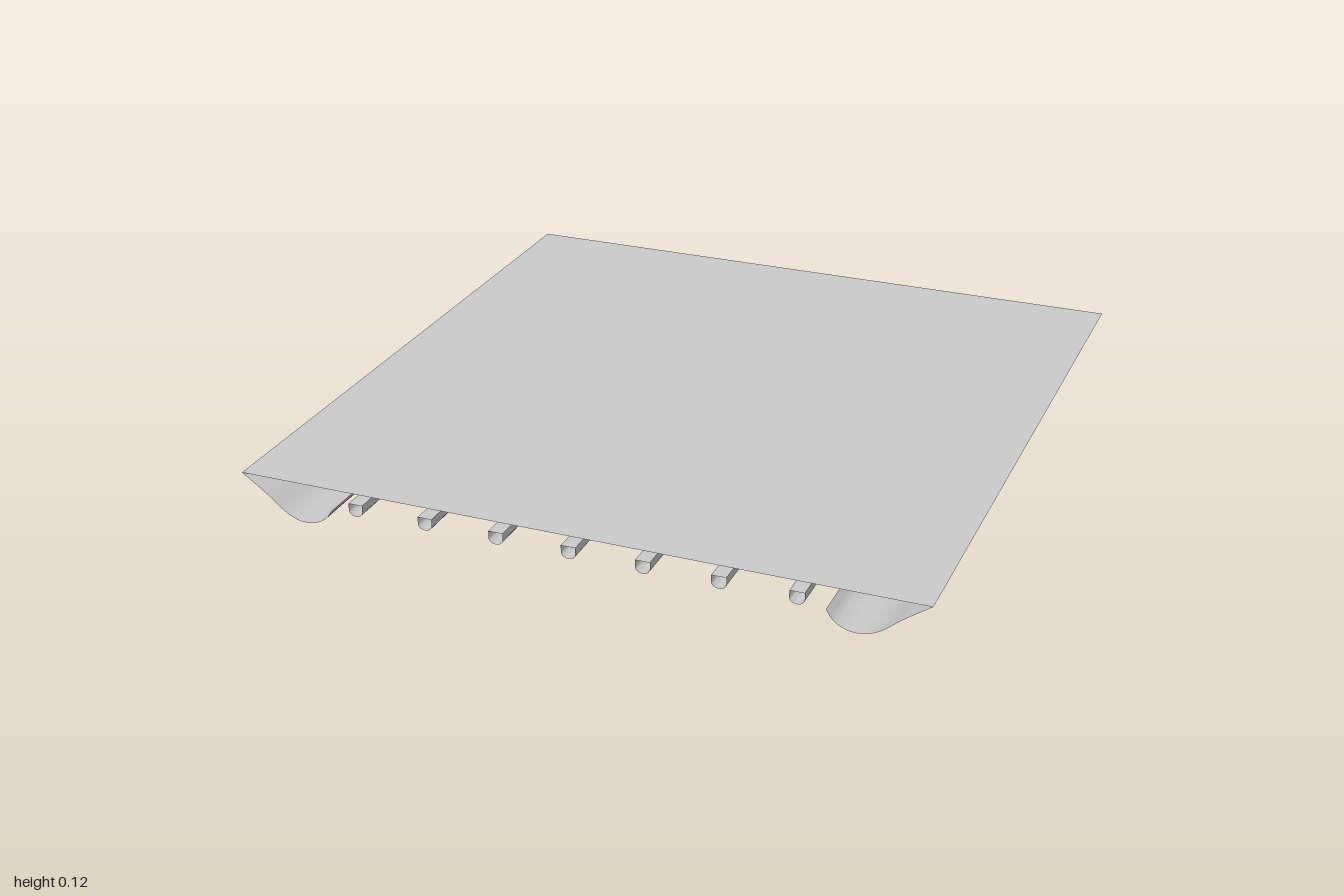
import * as THREE from 'three';
import { toCreasedNormals } from 'three/addons/utils/BufferGeometryUtils.js';

const material = new THREE.MeshStandardMaterial({ color: 0xcccccc, side: THREE.DoubleSide });

// Sweeps a cross-section of [x, y] points along z as a thin open-ended shell
function shell(name, points, length) {
  const geometry = new THREE.PlaneGeometry(1, 1, points.length - 1, 1);
  const pos = geometry.attributes.position;
  for (let i = 0; i < pos.count; i++) {
    const [x, y] = points[i % points.length];
    pos.setXYZ(i, x, y, i < points.length ? -length / 2 : length / 2);
  }
  const mesh = new THREE.Mesh(toCreasedNormals(geometry, 0.7), material);
  mesh.name = name;
  return mesh;
}

// Flat-topped bar section with straight sides and a round underside
function barSection(width, height) {
  const r = width / 2, drop = height * 0.45;
  const points = [[-r, height]];
  for (let i = 0; i <= 10; i++) {
    const a = Math.PI * i / 10;
    points.push([-r * Math.cos(a), drop * (1 - Math.sin(a))]);
  }
  points.push([r, height], [-r, height]);
  return points;
}

export function createModel() {
  const model = new THREE.Group();

  // Flat panel
  const panel = shell('topPanel', [[-1, 0.12], [1, 0.12]], 2);
  model.add(panel);

  // Side edges folded under and curled up at the lip
  const curve = new THREE.CatmullRomCurve3([
    [1, 0.12], [0.925, 0.067], [0.865, 0.019], [0.82, 0.001],
    [0.78, 0.003], [0.742, 0.022], [0.72, 0.052],
  ].map(([x, y]) => new THREE.Vector3(x, y, 0)));
  const fold = curve.getPoints(28);
  for (const side of [1, -1]) {
    const points = fold.map(p => [p.x * side, Math.max(0, p.y)]);
    // keep the outer face forward on both sides
    if (side < 0) points.reverse();
    model.add(shell(side > 0 ? 'leftFold' : 'rightFold', points, 2));
  }

  // Seven long ribs running front to back
  for (let i = -3; i <= 3; i++) {
    const rib = shell('rib', barSection(0.042, 0.037), 2);
    rib.position.set(i * 0.214, 0.05, 0);
    model.add(rib);
  }

  // Two cross bars under the ribs
  for (const z of [-0.5, 0.5]) {
    const bar = shell('crossBar', barSection(0.05, 0.037), 1.52);
    bar.rotation.y = Math.PI / 2;
    bar.position.set(0, 0.013, z);
    model.add(bar);
  }
  return model;
}
